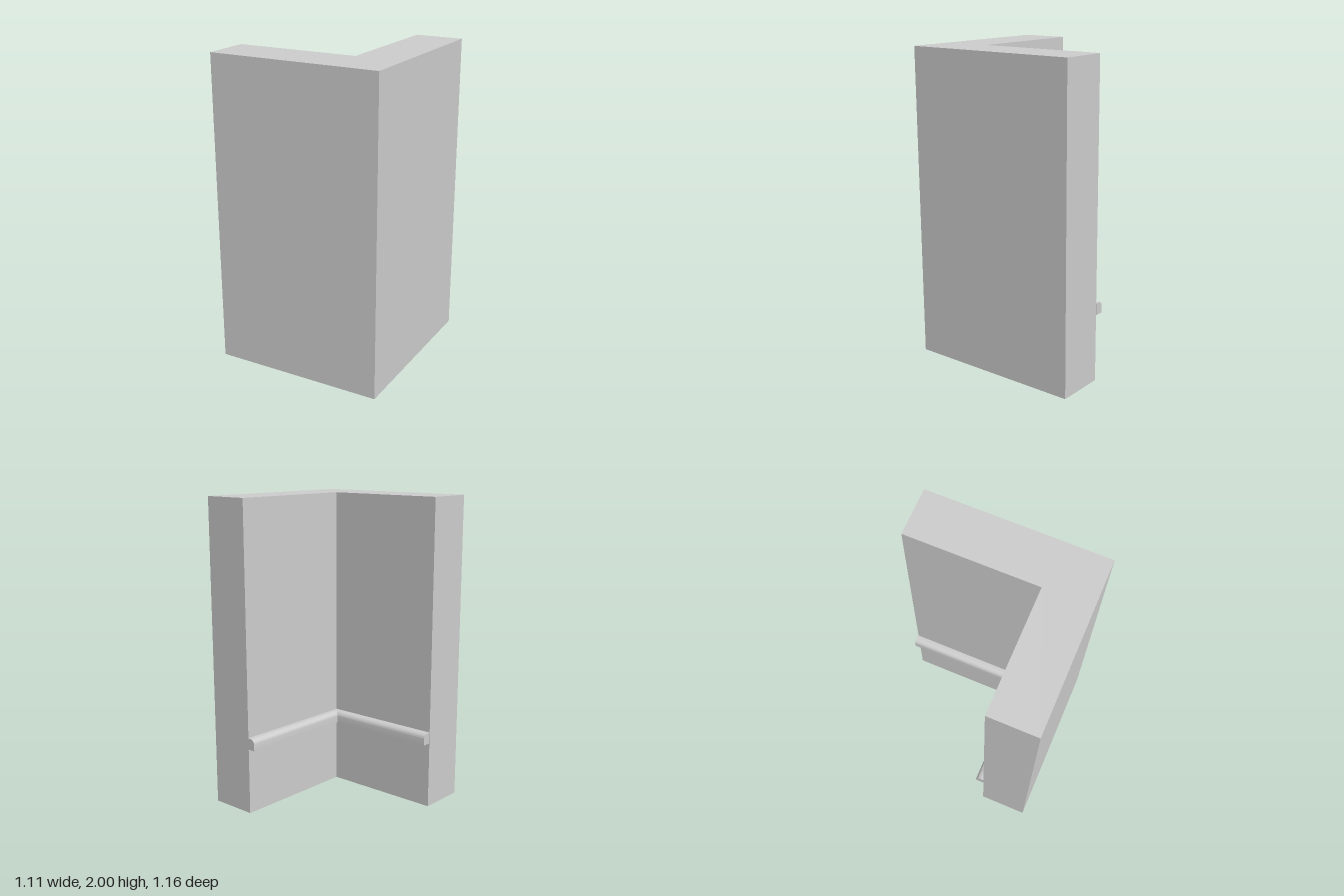
import * as THREE from 'three';
import { toCreasedNormals } from 'three/addons/utils/BufferGeometryUtils.js';

const material = new THREE.MeshStandardMaterial({ color: 0xcccccc });
const INNER_X = 0.242, INNER_Z = 0.268; // inside corner of the walls

// L-shaped corner wall, extruded upwards
function makeWall() {
  const outline = [
    [-0.553, 0.578], [0.553, 0.578], [0.553, -0.574],
    [INNER_X, -0.574], [INNER_X, INNER_Z], [-0.553, INNER_Z],
  ];
  const shape = new THREE.Shape(outline.map(([x, z]) => new THREE.Vector2(x, -z)));
  const geometry = new THREE.ExtrudeGeometry(shape, { depth: 2, bevelEnabled: false });
  geometry.rotateX(-Math.PI / 2);
  const wall = new THREE.Mesh(geometry, material);
  wall.name = 'cornerWall';
  return wall;
}

// Moulding profile: x is the distance out from the wall, y the height
function railProfile() {
  const depth = 0.055, bottom = 0.432, top = 0.507, r = 0.034;
  const shape = new THREE.Shape();
  shape.moveTo(0, bottom);
  shape.lineTo(depth, bottom);
  shape.lineTo(depth, top - r);
  shape.absarc(depth - r, top - r, r, 0, Math.PI / 2, false);
  shape.lineTo(0, top);
  shape.closePath();
  return shape;
}

// One rail: a unit extrusion remapped along its wall, mitred at the corner
function makeRail(name, map) {
  const geometry = new THREE.ExtrudeGeometry(railProfile(), {
    depth: 1, bevelEnabled: false, curveSegments: 10,
  });
  const p = geometry.attributes.position;
  for (let i = 0; i < p.count; i++) {
    const [x, z] = map(p.getX(i), p.getZ(i));
    p.setXYZ(i, x, p.getY(i), z);
  }
  const rail = new THREE.Mesh(toCreasedNormals(geometry, Math.PI / 6), material);
  rail.name = name;
  return rail;
}

export function createModel() {
  const group = new THREE.Group();
  group.name = 'wallCorner';
  const lerp = THREE.MathUtils.lerp;
  group.add(
    makeWall(),
    makeRail('frontWallRail', (d, t) => [lerp(-0.55, INNER_X - d, t), INNER_Z - d]),
    makeRail('sideWallRail', (d, t) => [INNER_X - d, lerp(INNER_Z - d, -0.578, t)]),
  );
  return group;
}
